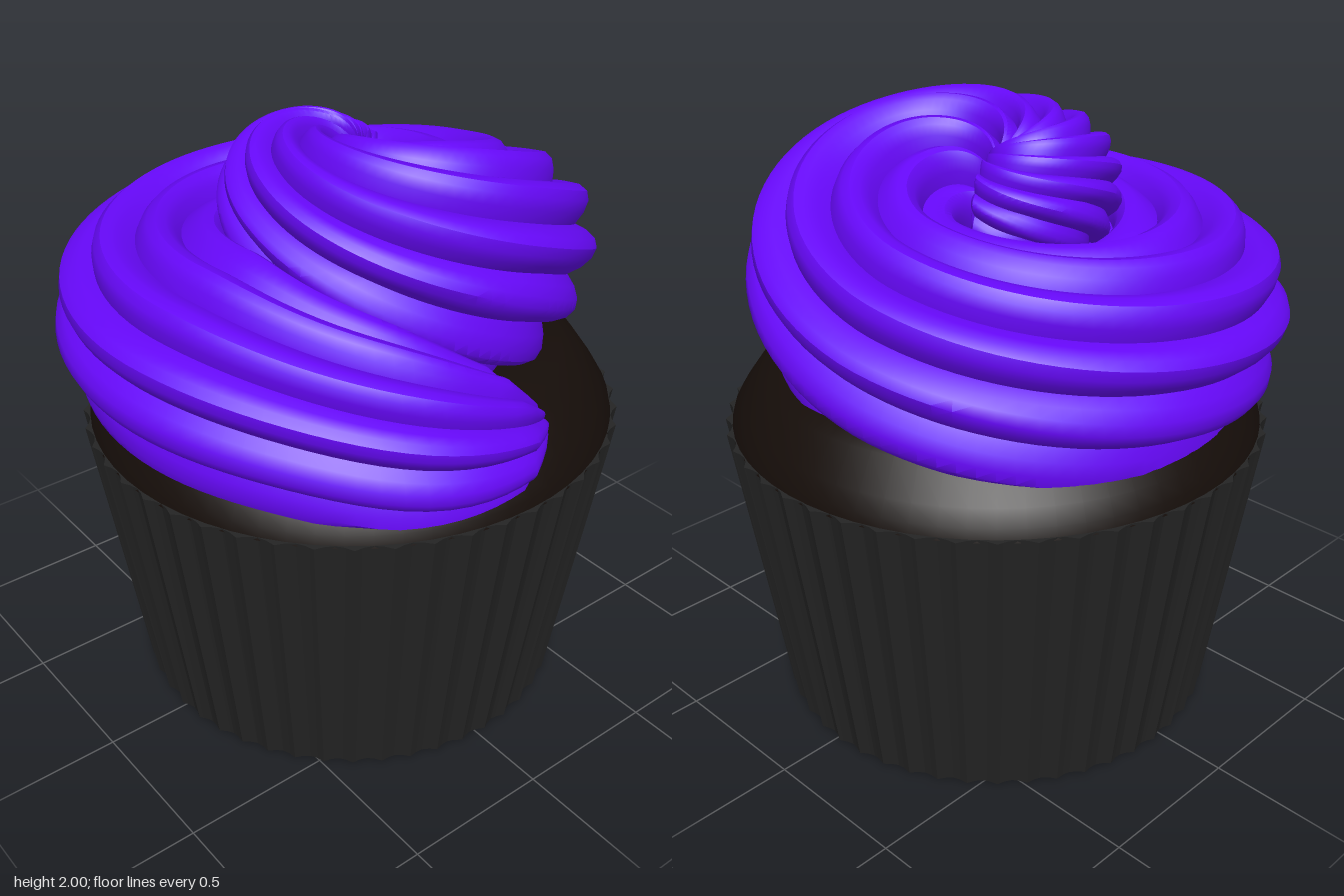
import * as THREE from 'three';
import { toCreasedNormals } from 'three/addons/utils/BufferGeometryUtils.js';

const CX = -0.015, CZ = -0.035;

function addMesh(group, name, geometry, color) {
  const material = new THREE.MeshStandardMaterial({ color, side: THREE.DoubleSide });
  const mesh = new THREE.Mesh(geometry, material);
  mesh.name = name;
  group.add(mesh);
  return mesh;
}

// Pleated paper cup: a cone frustum with sharp outward pleats
function linerGeometry() {
  const pleats = 48;
  const geo = new THREE.CylinderGeometry(0.9, 0.745, 1, pleats * 4, 1);
  const p = geo.attributes.position;
  for (let i = 0; i < p.count; i++) {
    const a = Math.atan2(p.getZ(i), p.getX(i));
    const k = 1 - 0.024 * Math.abs(Math.sin(a * pleats / 2));
    p.setXYZ(i, p.getX(i) * k, p.getY(i) + 0.5, p.getZ(i) * k);
  }
  return toCreasedNormals(geo, 0.35);
}

// Low dome of cake above the liner
function cakeGeometry() {
  const profile = [[0.88, 0.99], [0.87, 1.03], [0.84, 1.08], [0.77, 1.18], [0.7, 1.22], [0, 1.22]]
    .map(([r, y]) => new THREE.Vector2(r, y));
  return toCreasedNormals(new THREE.LatheGeometry(profile, 64), 0.6);
}

// Piped rope: a star-shaped section swept along a rising, tightening spiral
function frostingGeometry() {
  // Spiral radius, height and rope radius, one entry per quarter turn
  const keys = new THREE.CatmullRomCurve3([
    [0.74, 1.19, 0.13], [0.595, 1.38, 0.345], [0.58, 1.36, 0.345], [0.47, 1.42, 0.36],
    [0.365, 1.61, 0.36], [0.25, 1.72, 0.265], [0.17, 1.77, 0.18], [0.03, 1.72, 0.15],
  ].map(k => new THREE.Vector3(...k)));
  const rings = 160, ridges = 12, seg = ridges * 6;
  const startAngle = -0.26, sweep = 7 * Math.PI / 2;
  const pos = [], index = [];
  for (let i = 0; i <= rings; i++) {
    const t = i / rings;
    const k = keys.getPoint(t);
    const a = startAngle + sweep * t;
    // Rounded ends, and a swelling just after the start
    const end = Math.min(1, Math.sqrt(Math.min(i, rings - i) / 4));
    const swell = 0.05 * Math.exp(-(((a - 0.35) / 0.4) ** 2));
    for (let j = 0; j <= seg; j++) {
      const u = (j % seg) / seg;
      const phi = u * Math.PI * 2 + t * t * 5;
      // Sharp valleys between uneven rounded ridges
      const wave = Math.abs(Math.sin(u * Math.PI * ridges));
      const uneven = 0.035 * Math.sin(u * Math.PI * 6 + 1) * Math.sin(a * 0.8);
      const rad = end * (k.z + swell) * (0.83 + 0.19 * wave + uneven);
      const r = k.x + swell * 0.4 + rad * Math.cos(phi);
      // The underside sags and rests flat on the cake
      const lift = rad * Math.sin(phi);
      const y = Math.max(k.y + (lift < 0 ? 1.2 * lift : lift), 1.09);
      // The spiral's centre drifts slightly back as it climbs
      pos.push(r * Math.cos(a) - 0.04 * t, y, r * Math.sin(a) - 0.09 * t);
    }
  }
  const row = seg + 1;
  for (let i = 0; i < rings; i++) {
    for (let j = 0; j < seg; j++) {
      const p = i * row + j;
      index.push(p, p + 1, p + row, p + 1, p + row + 1, p + row);
    }
  }
  const geo = new THREE.BufferGeometry();
  geo.setAttribute('position', new THREE.Float32BufferAttribute(pos, 3));
  geo.setIndex(index);
  return toCreasedNormals(geo, 0.6);
}

export function createModel() {
  const group = new THREE.Group();
  group.name = 'cupcake';
  addMesh(group, 'paperLiner', linerGeometry(), 0x242424).position.set(CX, 0, CZ);
  addMesh(group, 'cake', cakeGeometry(), 0x150d09).position.set(CX, 0, CZ);
  addMesh(group, 'frostingSwirl', frostingGeometry(), 0x6608f8);
  return group;
}
